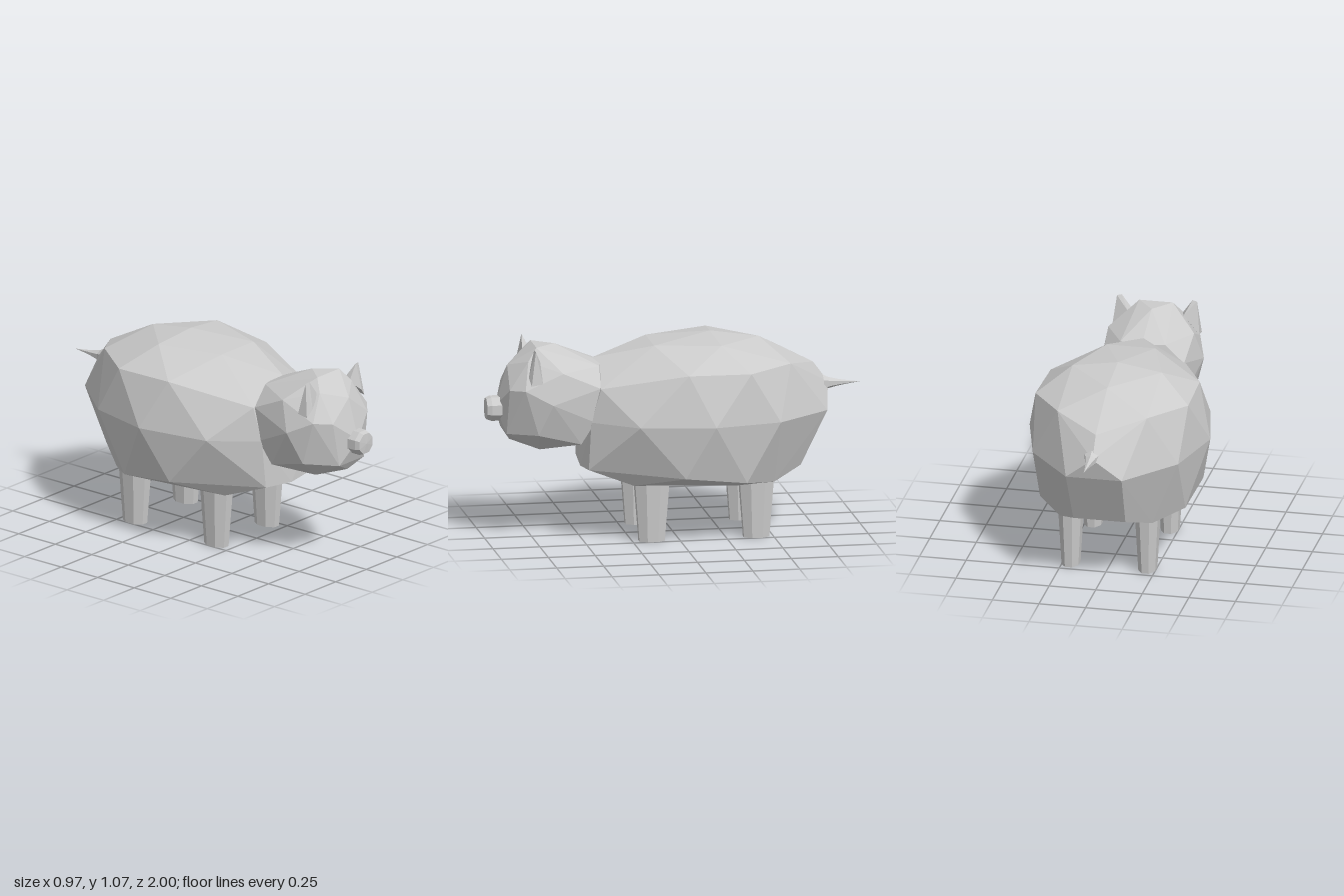
import * as THREE from 'three';
import { ConvexGeometry } from 'three/addons/geometries/ConvexGeometry.js';

const material = new THREE.MeshStandardMaterial({ color: 0xcccccc, flatShading: true });

function addMesh(parent, name, geometry) {
  const mesh = new THREE.Mesh(geometry, material);
  mesh.name = name;
  parent.add(mesh);
  return mesh;
}

// Faceted hull; with mirror on, every off-centre point is repeated at -x
function hull(points, mirror = true) {
  const all = [];
  for (const [x, y, z] of points) {
    all.push(new THREE.Vector3(x, y, z));
    if (mirror && x !== 0) all.push(new THREE.Vector3(-x, y, z));
  }
  return new ConvexGeometry(all);
}

export function createModel() {
  const model = new THREE.Group();
  model.name = 'pig';

  // Barrel-shaped body: back ridge, flanks, then belly
  addMesh(model, 'body', hull([
    [0, 0.95, 0.43], [0.13, 1.03, 0.12], [0, 1.07, -0.2], [0.24, 1.04, -0.22],
    [0, 1.03, -0.46], [0.24, 0.93, -0.59], [0, 0.88, -0.75], [0, 0.77, -0.83],
    [0.23, 0.83, 0.42], [0.4, 0.92, -0.02], [0.41, 0.92, -0.35],
    [0.22, 0.65, 0.47], [0.4, 0.65, 0.24], [0.485, 0.655, -0.15],
    [0.39, 0.65, -0.51], [0.15, 0.65, -0.8],
    [0, 0.37, 0.49], [0.2, 0.39, 0.48], [0.26, 0.31, 0.25], [0.415, 0.37, 0],
    [0.39, 0.33, -0.33], [0.14, 0.36, -0.66], [0.25, 0.3, -0.5],
    [0, 0.29, 0], [0.13, 0.29, -0.1], [0.26, 0.29, -0.3],
  ]));

  // Head, widening into the neck
  addMesh(model, 'head', hull([
    [0, 0.71, 0.945], [0, 0.93, 0.88], [0.14, 0.82, 0.89], [0.1, 0.58, 0.9],
    [0, 0.53, 0.87], [0.08, 0.485, 0.72], [0.22, 0.59, 0.75], [0.27, 0.76, 0.68],
    [0.22, 0.83, 0.82], [0.13, 0.97, 0.79], [0.09, 1.035, 0.74], [0, 1.035, 0.63],
    [0.23, 0.92, 0.62], [0.2, 0.53, 0.52], [0.08, 0.5, 0.53],
    [0.22, 0.65, 0.45], [0.22, 0.83, 0.42], [0.12, 0.93, 0.41], [0, 0.93, 0.38],
  ]));

  // Pointed ears
  for (const side of [1, -1]) {
    addMesh(model, side > 0 ? 'leftEar' : 'rightEar', hull([
      [0.19, 1.045, 0.77], [0.215, 1.04, 0.765], [0.13, 0.96, 0.775],
      [0.15, 0.97, 0.73], [0.235, 0.86, 0.79], [0.235, 0.87, 0.73], [0.2, 0.9, 0.8],
    ].map(([x, y, z]) => [side * x, y, z]), false));
  }

  // Snout with a slightly domed tip
  const snout = new THREE.LatheGeometry([
    [0.068, 0], [0.068, 0.07], [0.058, 0.095], [0, 0.1],
  ].map(([r, h]) => new THREE.Vector2(r, h)), 8, Math.PI / 8);
  snout.rotateX(Math.PI / 2).translate(0.005, 0.7, 0.9);
  addMesh(model, 'snout', snout);

  // Tapered legs, longer front to back than side to side
  for (const [end, z] of [['front', 0.147], ['back', -0.41]]) {
    for (const side of [1, -1]) {
      const leg = new THREE.CylinderGeometry(1.45, 1, 0.4, 8, 1);
      leg.rotateY(Math.PI / 8).scale(0.049, 1, 0.073).translate(side * 0.206, 0.2, z);
      addMesh(model, end + (side > 0 ? 'Left' : 'Right') + 'Leg', leg);
    }
  }

  // Thin tail drawn out to a point
  const tail = new THREE.LatheGeometry([
    [0.045, 0], [0.03, 0.03], [0.018, 0.08], [0.008, 0.14], [0, 0.2],
  ].map(([r, h]) => new THREE.Vector2(r, h)), 6);
  tail.rotateX(-Math.PI / 2).translate(0.01, 0.765, -0.8);
  addMesh(model, 'tail', tail);

  return model;
}
